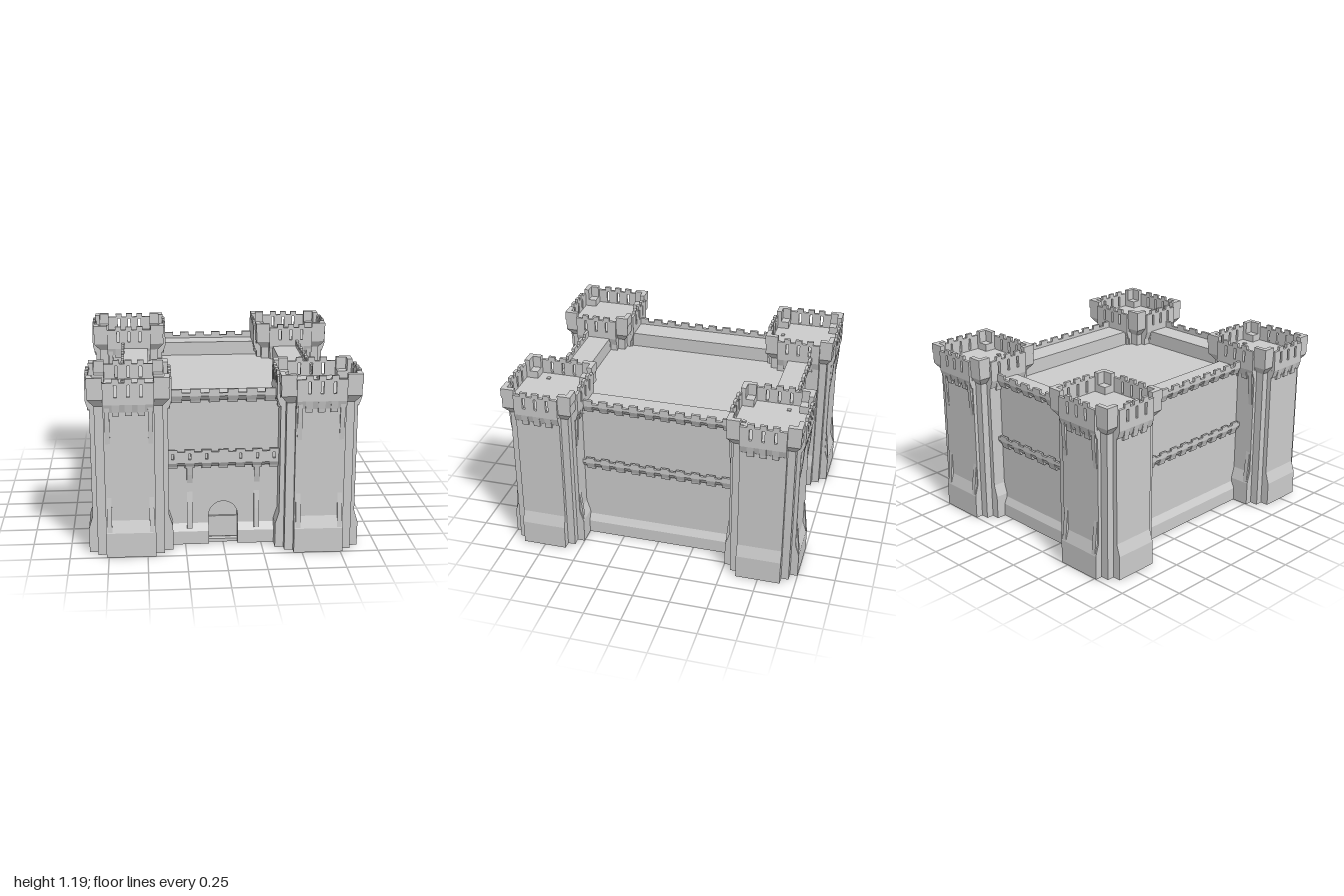
import * as THREE from 'three';

const stone = new THREE.MeshStandardMaterial({ color: 0xcccccc, flatShading: true, side: THREE.DoubleSide });

function add(parent, name, geometry, x = 0, y = 0, z = 0) {
  const mesh = new THREE.Mesh(geometry, stone);
  mesh.name = name;
  mesh.position.set(x, y, z);
  parent.add(mesh);
  return mesh;
}
function group(parent, name, x = 0, y = 0, z = 0, turn = 0) {
  const g = new THREE.Group();
  g.name = name;
  g.position.set(x, y, z);
  g.rotation.y = turn;
  parent.add(g);
  return g;
}
const box = (parent, name, x0, x1, y0, y1, z0, z1) =>
  add(parent, name, new THREE.BoxGeometry(x1 - x0, y1 - y0, z1 - z0), (x0 + x1) / 2, (y0 + y1) / 2, (z0 + z1) / 2);
// Horizontal sheet
const slab = (parent, name, w, d, x, y, z) =>
  add(parent, name, new THREE.PlaneGeometry(w, d).rotateX(-Math.PI / 2), x, y, z);
const vectors = (pts) => pts.map(([x, y]) => new THREE.Vector2(x, y));
const shapeOf = (pts) => new THREE.Shape(vectors(pts));
const extrude = (shape, depth) =>
  new THREE.ExtrudeGeometry(shape, { depth, bevelEnabled: false, curveSegments: 10 });

// Profile of [z, y] points swept along x
function prism(parent, name, profile, x0, x1) {
  const g = extrude(shapeOf(profile.map(([z, y]) => [-z, y])), x1 - x0);
  g.rotateY(Math.PI / 2);
  return add(parent, name, g, x0);
}

// Stepped cross-shaped shaft, open below; levels are [y, sideX, frontZ, cornerX, cornerZ]
function steppedShaft(levels) {
  const ring = ([y, sx, fz, cx, cz]) => {
    const q = [[sx, 0.15], [cx, 0.15], [cx, cz], [0.16, cz], [0.16, fz]];
    const back = [...q].reverse();
    return [...q, ...back.map(([x, z]) => [-x, z]), ...q.map(([x, z]) => [-x, -z]), ...back.map(([x, z]) => [x, -z])]
      .map(([x, z]) => [x, y, z]);
  };
  const pos = [];
  for (let i = 0; i + 1 < levels.length; i++) {
    const lo = ring(levels[i]), hi = ring(levels[i + 1]), n = lo.length;
    for (let k = 0; k < n; k++) {
      const j = (k + 1) % n;
      pos.push(...lo[k], ...hi[j], ...lo[j], ...lo[k], ...hi[k], ...hi[j]);
    }
  }
  const g = new THREE.BufferGeometry();
  g.setAttribute('position', new THREE.Float32BufferAttribute(pos, 3));
  g.computeVertexNormals();
  return g;
}

// Crenellated parapet on toothed corbels, standing out from a wall at z = 0
function battlement(parent, { len, n, pitch = len / n, out, thick, foot, course, base, low, top, slots = [], slot }) {
  const h = len / 2, w = pitch * 0.28;
  const centres = Array.from({ length: n }, (_, i) => (i - (n - 1) / 2) * pitch);
  const pts = [[-h, base], [-h, low]];
  for (const c of centres) pts.push([c - w, low], [c - w, top], [c + w, top], [c + w, low]);
  pts.push([h, low], [h, base]);
  const shape = shapeOf(pts);
  for (const s of slots) {
    const [sw, y0, y1] = slot;
    shape.holes.push(new THREE.Path(vectors([[s - sw, y0], [s - sw, y1], [s + sw, y1], [s + sw, y0]])));
  }
  add(parent, 'parapet', extrude(shape, thick), 0, 0, out - thick);
  prism(parent, 'corbelCourse', [[0, course], [out * 0.3, course], [out, base], [0, base]], -h, h);
  for (const c of centres)
    prism(parent, 'corbel', [[0, foot], [out * 0.5, foot], [out * 0.6, course], [out, base], [0, base]], c - w, c + w);
}

function tower(parent, sx, sz) {
  const t = group(parent, 'tower', sx * 0.605, 0, sz * 0.75);
  add(t, 'shaft', steppedShaft([
    [0, 0.272, 0.25, 0.216, 0.2], [0.165, 0.272, 0.25, 0.216, 0.2], [0.245, 0.247, 0.225, 0.216, 0.2],
    [1.0, 0.247, 0.225, 0.216, 0.2], [1.05, 0.247, 0.225, 0.255, 0.235], [1.06, 0.247, 0.225, 0.255, 0.235]]));
  slab(t, 'towerFloor', 0.51, 0.47, 0, 1.06, 0);

  const rim = { n: 3, pitch: 0.08, out: 0.025, thick: 0.02, foot: 0.945, course: 0.967, base: 1.02,
    low: 1.16, top: 1.185, slots: [-0.08, 0, 0.08], slot: [0.009, 1.068, 1.147] };
  for (const s of [1, -1]) {
    const face = group(t, 'towerFace', 0, 0, s * 0.225, s > 0 ? 0 : Math.PI);
    battlement(face, { ...rim, len: 0.32 });
    // Thin ribs that die into the wall
    for (const x of [-0.135, 0.135]) {
      prism(face, 'upperRib', [[0, 0.76], [0.012, 0.88], [0.018, 1.0], [0, 1.0]], x - 0.015, x + 0.015);
      prism(face, 'lowerRib', [[0, 0.17], [0.024, 0.17], [0.014, 0.28], [0, 0.4]], x - 0.015, x + 0.015);
    }
    const side = group(t, 'towerSide', s * 0.247, 0, 0, s * Math.PI / 2);
    battlement(side, { ...rim, len: 0.3 });
  }
  // Two-course corner turrets with an inner step
  for (const a of [1, -1]) for (const b of [1, -1]) {
    for (const [y, height, e] of [[1.06, 0.065, 0], [1.125, 0.065, 0.004]]) {
      const plan = [[0.16, 0.235 + e], [0.255 + e, 0.235 + e], [0.255 + e, 0.15], [0.225, 0.15], [0.225, 0.205], [0.16, 0.205]];
      const g = extrude(shapeOf(plan.map(([x, z]) => [a * x, -b * z])), height);
      g.rotateX(-Math.PI / 2);
      add(t, 'cornerTurret', g, 0, y, 0);
    }
    add(t, 'turretStep', new THREE.BoxGeometry(0.065, 0.05, 0.055), a * 0.1925, 1.085, b * 0.1775);
  }
  for (const [x, z] of [[-0.178, 0.08], [0.04, -0.168]])
    add(t, 'roofStud', new THREE.BoxGeometry(0.024, 0.008, 0.024), sx * x, 1.064, sz * z);
}

export function createModel() {
  const castle = new THREE.Group();
  castle.name = 'castle';
  for (const sx of [1, -1]) for (const sz of [1, -1]) tower(castle, sx, sz);

  slab(castle, 'roof', 0.94, 1.33, 0, 0.92, -0.015);

  const crown = { out: 0.04, thick: 0.02, foot: 0.973, course: 0.986, base: 1.02, low: 1.04, top: 1.065 };
  const belt = { out: 0.035, thick: 0.015, foot: 0.525, course: 0.54, base: 0.575, low: 0.6, top: 0.615 };
  const plinth = [[0, 0], [0.025, 0], [0.025, 0.09], [0, 0.14]];

  // Raised wall walk with its drop to the roof, and the crown of each wall
  const wallTop = (w, len, n, depth) => {
    slab(w, 'wallWalk', len, depth, 0, 1.02, -depth / 2);
    add(w, 'walkDrop', new THREE.PlaneGeometry(len, 0.1).rotateY(Math.PI), 0, 0.97, -depth);
    battlement(w, { ...crown, len, n });
  };

  // Plain walls: both sides and the back
  for (const [name, x, z, turn, len, n, depth] of [['leftWall', 0.62, 0, Math.PI / 2, 1.05, 10, 0.15],
    ['rightWall', -0.62, 0, -Math.PI / 2, 1.05, 10, 0.15], ['backWall', 0, -0.81, Math.PI, 0.72, 6, 0.13]]) {
    const w = group(castle, name, x, 0, z, turn);
    add(w, 'wallPanel', new THREE.PlaneGeometry(len, 1.02), 0, 0.51, 0);
    prism(w, 'plinth', plinth, -len / 2, len / 2);
    wallTop(w, len, n, depth);
    battlement(w, { ...belt, len, n });
  }

  // Front wall with arched gateway
  const f = group(castle, 'frontWall', 0, 0, 0.79);
  const wall = shapeOf([[0.095, 0], [0.36, 0], [0.36, 1.02], [-0.36, 1.02], [-0.36, 0], [-0.095, 0], [-0.095, 0.195]]);
  wall.absarc(0, 0.195, 0.095, Math.PI, 0, true);
  add(f, 'wallPanel', new THREE.ShapeGeometry(wall, 10));
  const arch = shapeOf([[0.095, 0], [0.1, 0], [0.1, 0.195]]);
  arch.absarc(0, 0.195, 0.1, 0, Math.PI, false);
  arch.lineTo(-0.1, 0);
  arch.lineTo(-0.095, 0);
  arch.absarc(0, 0.195, 0.095, Math.PI, 0, true);
  add(f, 'gateArch', extrude(arch, 0.05), 0, 0, -0.05);
  const backing = shapeOf([[-0.097, 0], [0.097, 0], [0.097, 0.195]]);
  backing.absarc(0, 0.195, 0.097, 0, Math.PI, false);
  add(f, 'gateBacking', new THREE.ShapeGeometry(backing, 10), 0, 0, -0.049);
  for (const s of [1, -1]) {
    prism(f, 'plinth', plinth, s > 0 ? 0.095 : -0.36, s > 0 ? 0.36 : -0.095);
    const x0 = s * 0.22 - 0.018, x1 = s * 0.22 + 0.018;
    prism(f, 'balconyBracket', [[0, 0.42], [0.014, 0.48], [0.025, 0.55], [0.025, 0.57], [0, 0.57]], x0, x1);
    prism(f, 'wallRib', [[0, 0.11], [0.026, 0.11], [0.015, 0.24], [0, 0.36]], x0, x1);
  }
  wallTop(f, 0.72, 6, 0.14);
  battlement(group(f, 'balcony'), { out: 0.04, thick: 0.015, foot: 0.53, course: 0.543, base: 0.57,
    low: 0.645, top: 0.66, len: 0.72, n: 7, pitch: 0.11, slots: [-0.33, -0.22, -0.11, 0.11, 0.22, 0.33], slot: [0.008, 0.595, 0.635] });

  // Plank gate and sill
  for (let i = 0; i < 12; i++) {
    const x = -0.095 + i * 0.19 / 12;
    box(f, 'gatePlank', x, x + 0.19 / 12, 0.03, 0.175, -0.045, i % 2 ? -0.03 : -0.028);
  }
  box(f, 'gateSill', -0.095, 0.095, 0, 0.022, -0.045, -0.005);
  return castle;
}
